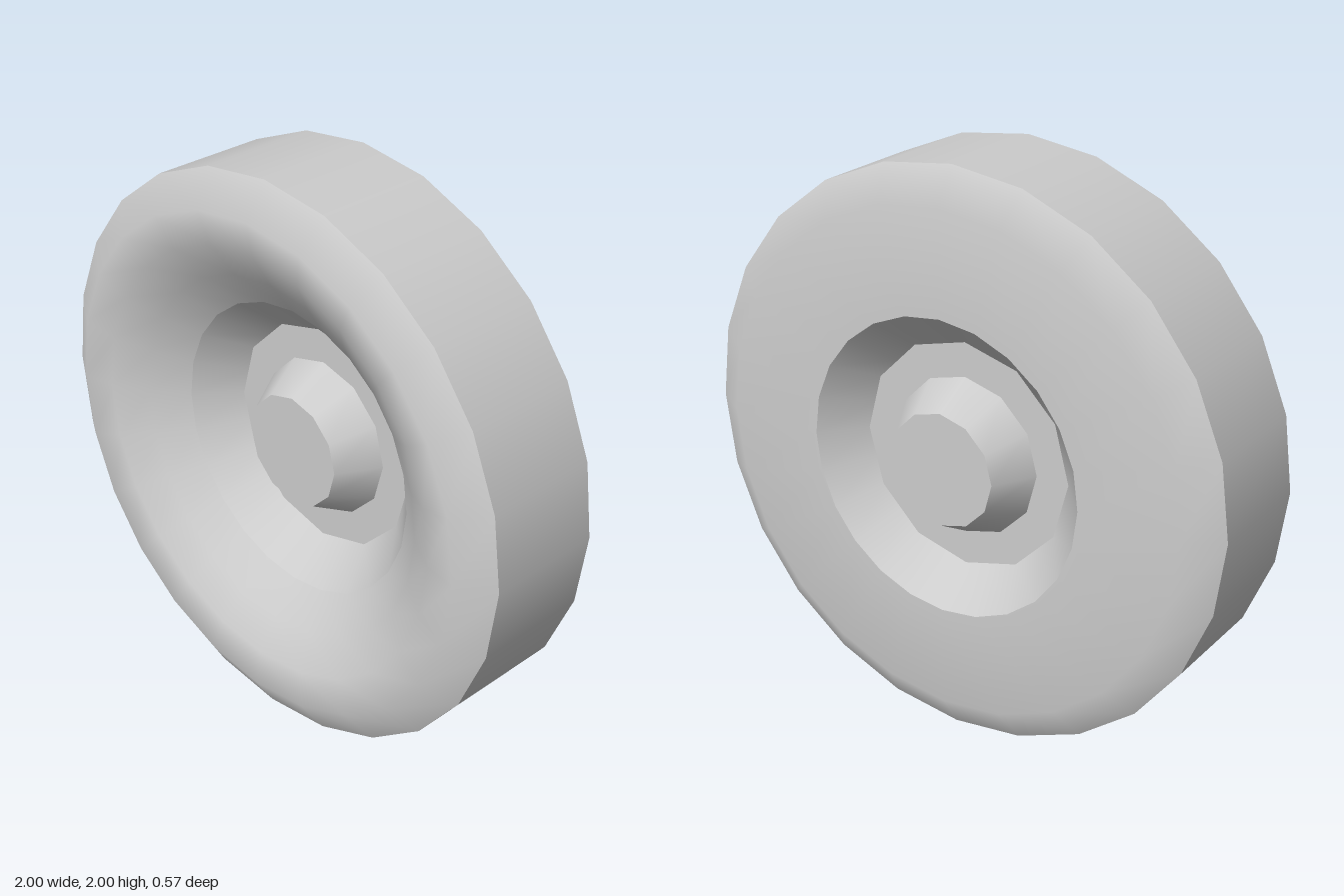
import * as THREE from 'three';

const TIRE_SIDES = 24;
const HUB_SIDES = 12;
const HUB_RADIUS = 0.4;

// Revolves a [radius, z] profile around the axle (z axis).
// Profiles run from the back, around the outside, to the front.
function revolve(name, profile, sides, material) {
  const points = profile.map(([r, z]) => new THREE.Vector2(r, z));
  const geometry = new THREE.LatheGeometry(points, sides);
  geometry.rotateX(Math.PI / 2);
  const mesh = new THREE.Mesh(geometry, material);
  mesh.name = name;
  return mesh;
}

// Pulls the inner edge of a 24-sided ring onto the 12-sided hub outline.
function fitToHub(mesh) {
  const pos = mesh.geometry.attributes.position;
  const perColumn = pos.count / (TIRE_SIDES + 1);
  const k = Math.cos(Math.PI / HUB_SIDES);
  for (let i = 0; i < pos.count; i++) {
    const odd = Math.floor(i / perColumn) % 2 === 1;
    const r = Math.hypot(pos.getX(i), pos.getY(i));
    if (odd && r < HUB_RADIUS + 0.01) pos.setXY(i, pos.getX(i) * k, pos.getY(i) * k);
  }
  return mesh;
}

export function createModel() {
  const model = new THREE.Group();
  model.name = 'wheel';
  const grey = new THREE.MeshStandardMaterial({ color: 0xcccccc });

  // Tire: tread band and rounded sidewalls, the front one dished
  const tire = new THREE.Group();
  tire.name = 'tire';
  tire.add(
    revolve('tread', [[1, -0.21], [1, 0.21]], TIRE_SIDES, grey),
    revolve('frontSidewall',
      [[1, 0.21], [0.88, 0.285], [0.76, 0.262], [0.64, 0.19], [0.52, 0.1]], TIRE_SIDES, grey),
    revolve('backSidewall', [[0.52, -0.285], [0.88, -0.285], [1, -0.21]], TIRE_SIDES, grey)
  );

  // Rims: cones leading from the sidewalls down to the hub plates
  const rims = new THREE.Group();
  rims.name = 'rims';
  rims.add(
    fitToHub(revolve('frontRim', [[0.52, 0.1], [HUB_RADIUS, -0.04]], TIRE_SIDES, grey)),
    fitToHub(revolve('backRim', [[HUB_RADIUS, -0.147], [0.52, -0.285]], TIRE_SIDES, grey))
  );

  // Hub: on each side a flat plate, a tapered boss and a flat cap
  const hub = new THREE.Group();
  hub.name = 'hub';
  const sides = [
    { label: 'front', plate: -0.04, cap: 0.104, flip: true },
    { label: 'back', plate: -0.147, cap: -0.287, flip: false },
  ];
  for (const { label, plate, cap, flip } of sides) {
    const parts = {
      Plate: [[0.28, plate], [HUB_RADIUS, plate]],
      Boss: [[0.2, cap], [0.28, plate]],
      Cap: [[0, cap], [0.2, cap]],
    };
    for (const [part, profile] of Object.entries(parts)) {
      hub.add(revolve(label + part, flip ? profile.reverse() : profile, HUB_SIDES, grey));
    }
  }

  model.add(tire, rims, hub);
  for (const part of model.children) part.position.y = 1;
  return model;
}
